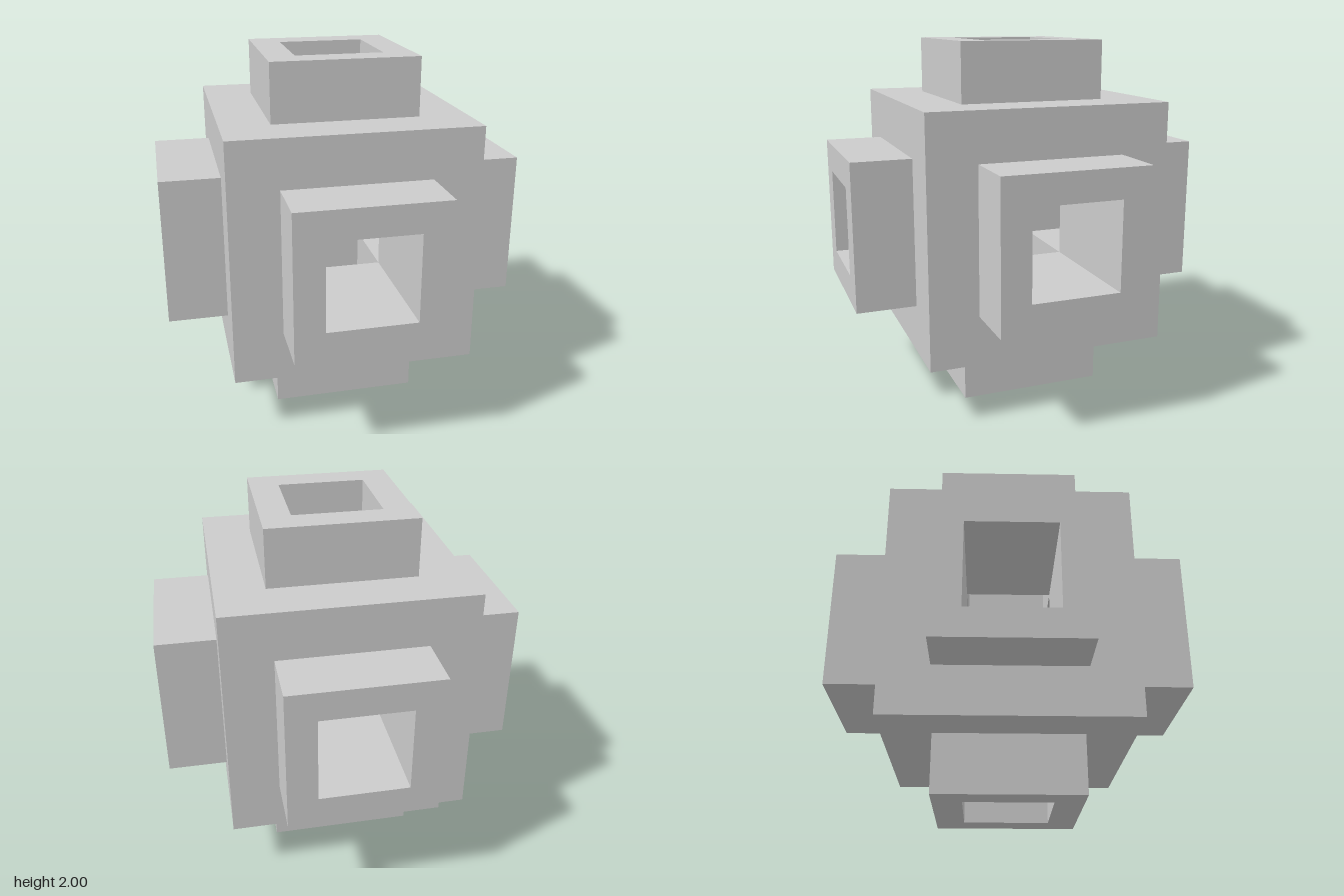
import * as THREE from 'three';

const U = 1 / 37;          // module unit: half the overall length is 37 units
const CORE = 25 * U;       // half width of the cube
const PORT = 15 * U;       // half width of a square port
const BORE = 9 * U;        // half width of the square tunnels

const material = new THREE.MeshStandardMaterial({ color: 0xcccccc, flatShading: true });

// Sweep a [half width, height] profile around a square
function squareSweep(profile) {
  const points = profile.map(([w, h]) => new THREE.Vector2(w * Math.SQRT2, h));
  const geometry = new THREE.LatheGeometry(points, 4, Math.PI / 4).toNonIndexed();
  geometry.computeVertexNormals();
  return geometry;
}

export function createModel() {
  const model = new THREE.Group();
  model.name = 'sixWayJunction';

  // Cube face around the foot of a port
  const panelGeometry = squareSweep([[CORE, CORE], [PORT, CORE]]);
  // Port sides, rim and tunnel walls down to where the tunnels cross
  const portGeometry = squareSweep([[PORT, CORE], [PORT, 1], [BORE, 1], [BORE, BORE]]);

  // The same side repeated along each of the six directions
  const sides = {
    top: [0, 1, 0], bottom: [0, -1, 0],
    left: [1, 0, 0], right: [-1, 0, 0],
    front: [0, 0, 1], back: [0, 0, -1],
  };
  const up = new THREE.Vector3(0, 1, 0);
  for (const [name, direction] of Object.entries(sides)) {
    const side = new THREE.Group();
    side.name = name + 'Side';
    const panel = new THREE.Mesh(panelGeometry, material);
    panel.name = name + 'CoreFace';
    const port = new THREE.Mesh(portGeometry, material);
    port.name = name + 'Port';
    side.add(panel, port);
    side.quaternion.setFromUnitVectors(up, new THREE.Vector3(...direction));
    side.position.y = 1;
    model.add(side);
  }
  return model;
}
